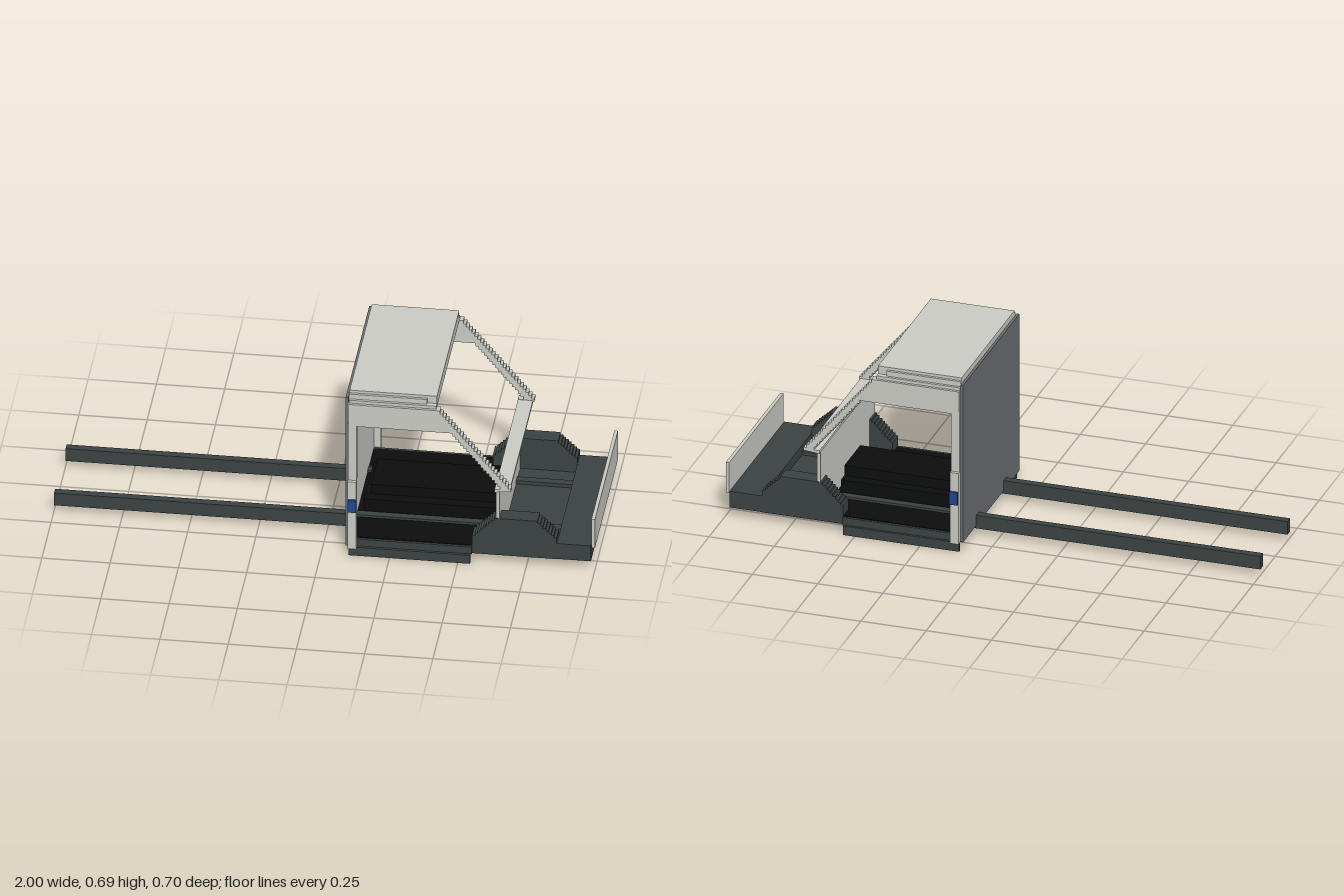
import * as THREE from 'three';

const mat = (name, color) => {
  const m = new THREE.MeshStandardMaterial({ color });
  m.name = name;
  return m;
};

export function createModel() {
  const paint = mat('light grey paint', 0xcacac4);
  const dark = mat('charcoal', 0x3b4242);
  const black = mat('black trim', 0x0c0d0d);
  const blue = mat('blue marker', 0x1f4792);
  const backGrey = mat('rear wall grey', 0x6c6d72);
  const lining = mat('roof lining', 0x857c6a);

  const model = new THREE.Group();
  model.name = 'cabChassis';

  // Box given by its limits on each axis
  const box = (name, m, x0, x1, y0, y1, z0, z1) => {
    const mesh = new THREE.Mesh(new THREE.BoxGeometry(x1 - x0, y1 - y0, z1 - z0), m);
    mesh.position.set((x0 + x1) / 2, (y0 + y1) / 2, (z0 + z1) / 2);
    mesh.name = name;
    model.add(mesh);
  };
  const pair = (name, m, x0, x1, y0, y1, z0, z1) => {
    box(name + 'Left', m, x0, x1, y0, y1, z0, z1);
    box(name + 'Right', m, x0, x1, y0, y1, -z1, -z0);
  };

  // Staircase points between two corners
  const stairs = (x0, y0, x1, y1, n, riseFirst) => {
    const pts = [];
    for (let i = 0; i < n; i++) {
      const xa = x0 + (x1 - x0) * i / n, xb = x0 + (x1 - x0) * (i + 1) / n;
      const ya = y0 + (y1 - y0) * i / n, yb = y0 + (y1 - y0) * (i + 1) / n;
      pts.push([xa, ya], riseFirst ? [xa, yb] : [xb, ya]);
    }
    pts.push([x1, y1]);
    return pts;
  };

  // Side profile extruded between z0 and z1 on both sides
  const profilePair = (name, m, pts, z0, z1) => {
    const shape = new THREE.Shape(pts.map(p => new THREE.Vector2(p[0], p[1])));
    const geo = new THREE.ExtrudeGeometry(shape, { depth: z1 - z0, bevelEnabled: false });
    [['Right', -z1], ['Left', z0]].forEach(([side, z]) => {
      const mesh = new THREE.Mesh(geo, m);
      mesh.position.z = z;
      mesh.name = name + side;
      model.add(mesh);
    });
  };

  // Chassis rails, floor and sills
  pair('chassisRail', dark, -1, 0.965, 0.024, 0.076, 0.14, 0.17);
  box('floor', dark, 0.1, 0.87, 0.035, 0.062, -0.31, 0.31);
  box('cabMat', black, 0.105, 0.64, 0.062, 0.067, -0.308, 0.308);
  pair('sill', dark, 0.1, 0.55, 0.035, 0.065, 0.31, 0.32);
  pair('sillSkirt', dark, 0.1, 0.545, 0, 0.036, 0.32, 0.33);

  // Centre console
  box('consoleTop', black, 0.15, 0.62, 0.066, 0.16, -0.09, 0.09);
  box('consoleBase', black, 0.13, 0.62, 0.066, 0.12, -0.13, 0.13);

  // Front wheel arches and bumper
  profilePair('wheelArch', dark, [
    [0.55, 0.035],
    ...stairs(0.55, 0.1, 0.64, 0.19, 9, true),
    ...stairs(0.78, 0.19, 0.86, 0.115, 8, false),
    [0.86, 0.035],
  ], 0.25, 0.312);
  box('bumper', dark, 0.86, 0.985, 0.035, 0.1, -0.31, 0.31);
  box('frontPanel', paint, 0.987, 1, 0.092, 0.214, -0.31, 0.31);

  // Firewall and cowl below the windscreen
  box('firewall', paint, 0.638, 0.65, 0.062, 0.315, -0.31, 0.31);
  box('cowl', paint, 0.635, 0.69, 0.312, 0.323, -0.3, 0.3);

  // Rear wall: grey skin outside, painted inside
  box('rearWallSkin', backGrey, 0.088, 0.098, 0.035, 0.665, -0.32, 0.32);
  box('rearWall', paint, 0.098, 0.106, 0.035, 0.642, -0.322, 0.322);

  // Rear pillars with blue side markers
  pair('rearPillarLower', paint, 0.098, 0.13, 0.035, 0.32, 0.32, 0.343);
  pair('rearPillarUpper', paint, 0.098, 0.13, 0.32, 0.56, 0.31, 0.33);
  pair('sideMarker', blue, 0.1, 0.13, 0.195, 0.246, 0.343, 0.352);

  // Side header running into the stepped windscreen pillar
  profilePair('sideFrame', paint, [
    [0.1, 0.55],
    ...stairs(0.47, 0.55, 0.655, 0.325, 18, false),
    [0.635, 0.325], [0.635, 0.312],
    ...stairs(0.695, 0.318, 0.425, 0.642, 26, true),
    [0.1, 0.642],
  ], 0.3, 0.33);

  // Roof with stepped edges
  box('roof', paint, 0.1, 0.42, 0.64, 0.685, -0.3, 0.3);
  box('roofStepUpper', paint, 0.1, 0.385, 0.64, 0.674, -0.31, 0.31);
  box('roofStepLower', paint, 0.1, 0.42, 0.64, 0.654, -0.32, 0.32);
  box('roofLining', lining, 0.106, 0.418, 0.634, 0.64, -0.3, 0.3);

  return model;
}
